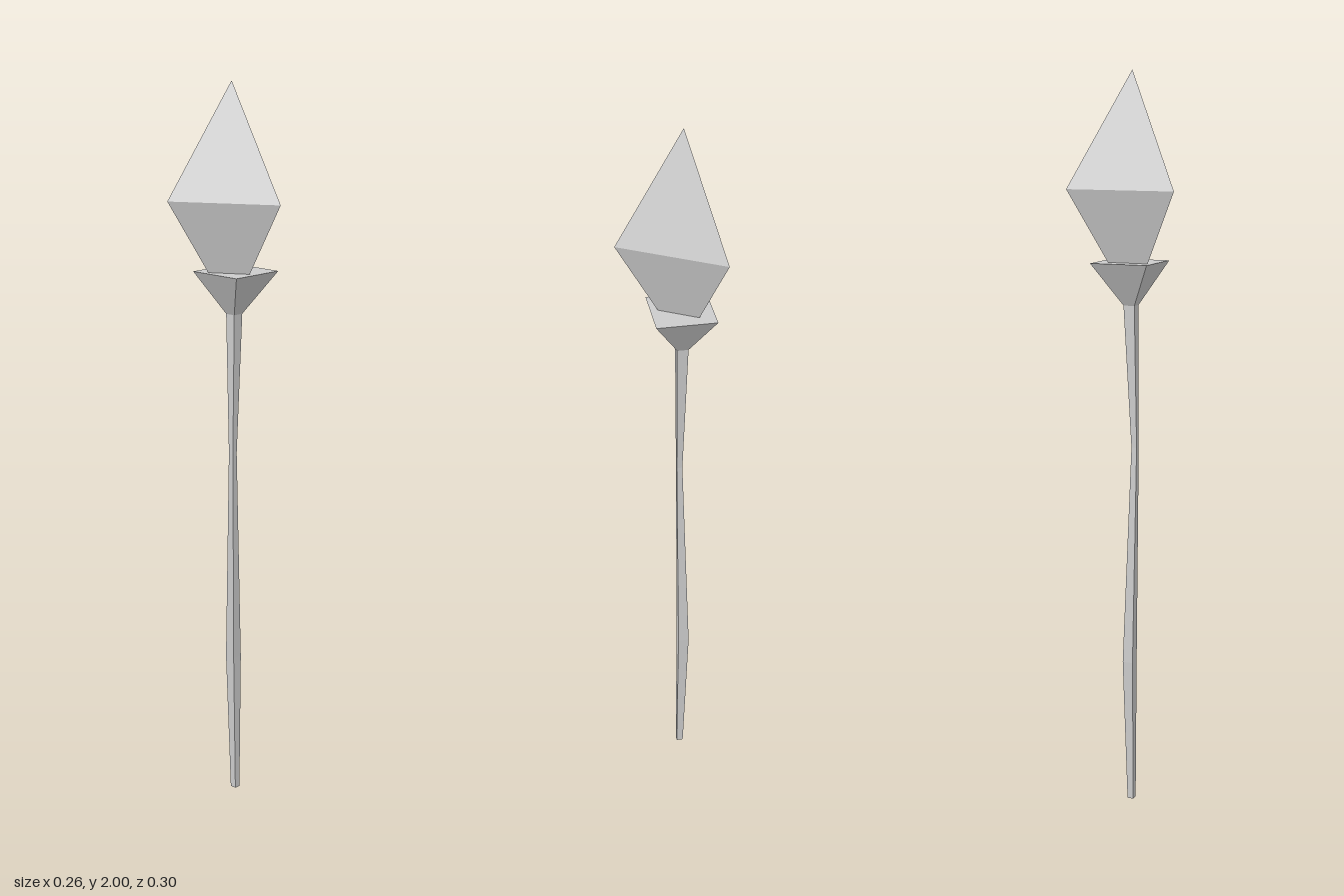
import * as THREE from 'three';

const material = new THREE.MeshStandardMaterial({ color: 0xcccccc, flatShading: true });

// Four-sided loft: each section is [y, xMin, xMax, zMin, zMax], bottom to top
function squareLoft(name, sections) {
  const geometry = new THREE.BoxGeometry(1, 1, 1, 1, sections.length - 1, 1);
  const p = geometry.attributes.position;
  for (let i = 0; i < p.count; i++) {
    const row = Math.round((p.getY(i) + 0.5) * (sections.length - 1));
    const [y, x0, x1, z0, z1] = sections[row];
    p.setXYZ(i, p.getX(i) < 0 ? x0 : x1, y, p.getZ(i) < 0 ? z0 : z1);
  }
  geometry.computeVertexNormals();
  const mesh = new THREE.Mesh(geometry, material);
  mesh.name = name;
  return mesh;
}

export function createModel() {
  const group = new THREE.Group();
  group.name = 'crystalStaff';

  // Slightly crooked, tapering shaft
  group.add(squareLoft('shaft', [
    [0, -0.05, -0.032, -0.014, 0.003],
    [0.4, -0.064, -0.034, -0.022, 0.007],
    [1.0, -0.046, -0.031, -0.003, 0.012],
    [1.385, -0.057, -0.027, -0.021, 0.01],
  ]));

  // Flared square socket with a flat top
  group.add(squareLoft('socket', [
    [1.385, -0.057, -0.027, -0.021, 0.01],
    [1.5, -0.12, 0.04, -0.09, 0.071],
  ]));

  // Three-sided double pyramid, one corner pointing to +x
  const profile = [[0, 1.385], [0.175, 1.693], [0, 2]].map(([r, y]) => new THREE.Vector2(r, y));
  const crystal = new THREE.Mesh(new THREE.LatheGeometry(profile, 3, Math.PI / 2), material);
  crystal.name = 'crystal';
  crystal.position.x = -0.045;
  group.add(crystal);

  return group;
}
